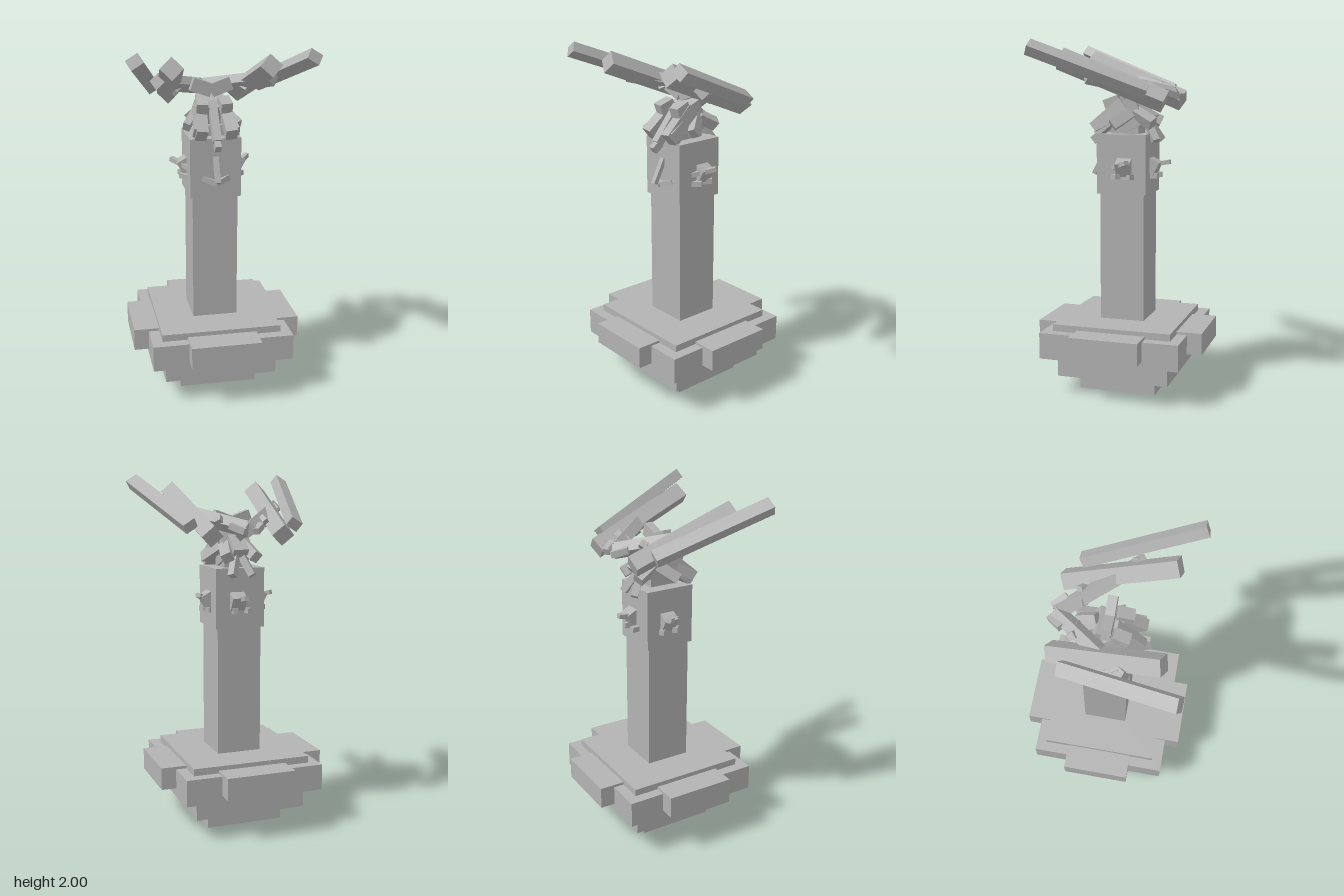
import * as THREE from 'three';

export function createModel() {
  const root = new THREE.Group();
  root.name = 'hornedPillar';
  const stone = new THREE.MeshStandardMaterial({ color: 0xb3b3b3 });
  stone.name = 'grey stone';

  function box(name, w, h, d, x, y, z, parent = root) {
    const m = new THREE.Mesh(new THREE.BoxGeometry(w, h, d), stone);
    m.name = name;
    m.position.set(x, y, z);
    parent.add(m);
    return m;
  }

  // Square-cut bar running from point a to point b, rolled about its length
  function bar(name, a, b, w, h, roll = 0, parent = root) {
    const p = new THREE.Vector3(...a), q = new THREE.Vector3(...b);
    const m = box(name, w, h, p.distanceTo(q), 0, 0, 0, parent);
    m.position.copy(p).lerp(q, 0.5);
    m.lookAt(q);
    m.rotateZ(roll);
    return m;
  }

  // Stepped base, shaft and capital: name, width, bottom, top
  const tiers = [
    ['foot', 0.45, 0, 0.095], ['lowerStep', 0.65, 0.095, 0.215],
    ['middleStep', 0.81, 0.215, 0.365], ['topStep', 0.69, 0.365, 0.405],
    ['shaft', 0.26, 0.405, 1.14], ['capital', 0.29, 1.14, 1.48],
  ];
  for (const [name, w, y0, y1] of tiers) box(name, w, y1 - y0, w, 0, (y0 + y1) / 2, 0);

  // Blocks standing out from the four sides of the base
  for (let i = 0; i < 4; i++) {
    const a = i * Math.PI / 2;
    const m = box('baseBlock', 0.4, 0.126, 0.16, Math.sin(a) * 0.41, 0.317, Math.cos(a) * 0.41);
    m.rotation.y = a;
  }

  // Small carved mask on each side of the capital
  for (let i = 0; i < 4; i++) {
    const g = new THREE.Group();
    g.name = 'capitalMask';
    g.rotation.y = i * Math.PI / 2;
    root.add(g);
    bar('maskNose', [0, 1.375, 0.14], [0, 1.24, 0.21], 0.03, 0.025, 0, g);
    for (const s of [-1, 1]) {
      bar('maskLip', [s * 0.075, 1.255, 0.135], [0, 1.225, 0.16], 0.03, 0.03, 0, g);
    }
    if (i !== 0) {
      const cube = box('maskBlock', 0.085, 0.085, 0.07, i === 1 ? 0.02 : -0.02, 1.295, 0.15, g);
      cube.rotation.x = 0.5;
    }
  }

  // Paired parts of the head and horns
  for (const s of [-1, 1]) {
    // Long horns sweeping up and forward
    bar('outerHorn', [s * 0.305, 1.72, -0.195], [s * 0.467, 1.957, 0.42], 0.075, 0.06, -s * 0.6);
    bar('innerHorn', [s * 0.205, 1.665, -0.27], [s * 0.265, 1.9, 0.315], 0.09, 0.09, s * Math.PI / 4);

    // Branches meeting behind the head
    bar('hornBranch', [0, 1.7, -0.27], [s * 0.32, 1.805, 0.14], 0.065, 0.065, s * Math.PI / 4);
    for (const [x, y, z] of [[0.07, 1.725, -0.15], [0.13, 1.745, -0.16], [0.2, 1.73, -0.02], [0.31, 1.8, 0.1]]) {
      const stud = box('branchStud', 0.04, 0.04, 0.04, s * x, y, z);
      stud.rotation.set(0.6, s * 0.7, s * 0.4);
    }
    bar('branchKnot', [s * 0.03, 1.69, -0.3], [s * 0.09, 1.72, -0.23], 0.035, 0.035);

    // Brow crest, eyes and cheeks
    bar('crest', [0, 1.725, 0.005], [s * 0.11, 1.765, 0.005], 0.05, 0.075);
    const eye = box('eyeBlock', 0.065, 0.06, 0.09, s * 0.065, 1.655, 0.075);
    eye.rotation.set(0.35, s * 0.1, 0);
    bar('cheek', [s * 0.07, 1.645, 0.0], [s * 0.085, 1.5, 0.17], 0.065, 0.09, s * 0.15);
    bar('jaw', [s * 0.09, 1.59, 0.04], [s * 0.115, 1.52, 0.17], 0.03, 0.06, s * 0.2);

    // Ears and nape blocks
    bar('ear', [s * 0.08, 1.6, -0.04], [s * 0.15, 1.53, 0.05], 0.04, 0.06, s * 0.4);
    bar('napeBlock', [s * 0.06, 1.6, -0.06], [s * 0.085, 1.54, -0.17], 0.06, 0.06, s * 0.5);
    bar('neckSpur', [s * 0.02, 1.54, -0.12], [s * 0.06, 1.44, -0.18], 0.04, 0.04, s * 0.4);
  }

  // Skull, snout and neck along the middle
  const skull = box('skull', 0.16, 0.17, 0.14, 0, 1.59, -0.02);
  skull.rotation.x = 0.4;
  box('neck', 0.14, 0.08, 0.16, 0, 1.5, 0);
  bar('snout', [0, 1.66, 0.03], [0, 1.47, 0.185], 0.045, 0.05);
  bar('noseTip', [0, 1.47, 0.17], [0, 1.435, 0.215], 0.035, 0.045);
  bar('backOfHead', [0, 1.66, -0.02], [0, 1.56, -0.15], 0.09, 0.06);
  bar('napeSpur', [0, 1.71, -0.06], [0, 1.66, -0.16], 0.05, 0.05, Math.PI / 4);

  return root;
}
